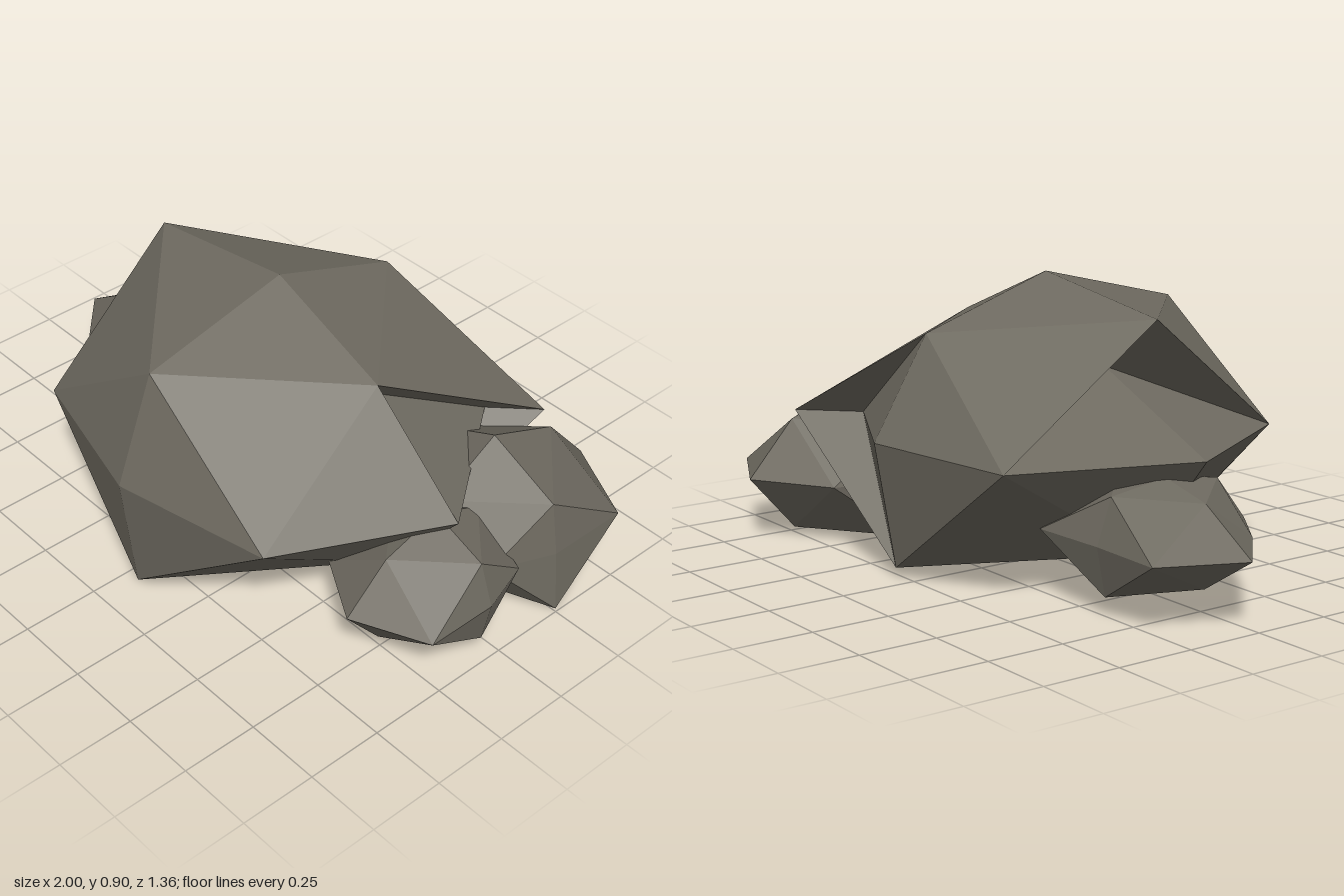
import * as THREE from 'three';

// Vertical squash shared by all the boulders
const SQUASH = 0.7;

// Eighteen directions of a once-divided octahedron:
// X+ X- Y+ Y- Z+ Z-, then the midpoints in the XY, YZ and XZ planes (++ +- -+ --)
const DIRECTIONS = [];
for (let axis = 0; axis < 3; axis++) {
  for (const s of [1, -1]) {
    const d = [0, 0, 0];
    d[axis] = s;
    DIRECTIONS.push(d);
  }
}
for (const [a, b] of [[0, 1], [1, 2], [0, 2]]) {
  for (const s of [1, -1]) {
    for (const t of [1, -1]) {
      const d = [0, 0, 0];
      d[a] = s;
      d[b] = t;
      DIRECTIONS.push(d);
    }
  }
}

// Faceted boulder; reach gives how far each direction extends.
// notches pull in a corner of the spur on one axis: key 'axis direction|corner direction',
// with '|octant' added when only one octant is pulled in.
function boulder(reach, notches = {}) {
  const lengths = new Map(DIRECTIONS.map((d, i) => [d.join(), reach[i]]));
  const positions = [];
  const point = (d, r = lengths.get(d.join())) => [d[0] * r, d[1] * r * SQUASH, d[2] * r];
  const addFace = (corners, flip) => {
    for (const p of flip ? [...corners].reverse() : corners) positions.push(...p);
  };
  for (const x of [1, -1]) for (const y of [1, -1]) for (const z of [1, -1]) {
    const flip = x * y * z < 0;
    const X = [x, 0, 0], Y = [0, y, 0], Z = [0, 0, z];
    const XY = [x, y, 0], YZ = [0, y, z], XZ = [x, 0, z];
    addFace([point(XY), point(YZ), point(XZ)], flip);
    for (const [tip, a, b] of [[X, XY, XZ], [Y, YZ, XY], [Z, XZ, YZ]]) {
      const [innerA, innerB] = [a, b].map((corner) => {
        const key = `${tip}|${corner}`, single = notches[`${key}|${x},${y},${z}`];
        const inner = point(corner, single ?? notches[key]);
        // Step beside a corner pulled in on one side only
        if (single) addFace([point(tip), point(corner), inner], flip);
        return inner;
      });
      addFace([point(tip), innerA, innerB], flip);
      // Small walls between a pulled-in spur and the body
      if (`${innerA}` !== `${point(a)}`) addFace([innerA, point(a), point(b)], flip);
      if (`${innerB}` !== `${point(b)}`) addFace([innerB, innerA, point(b)], flip);
    }
  }
  const geometry = new THREE.BufferGeometry();
  geometry.setAttribute('position', new THREE.Float32BufferAttribute(positions, 3));
  geometry.computeVertexNormals();
  return geometry;
}

export function createModel() {
  const group = new THREE.Group();
  group.name = 'rockCluster';
  const stone = new THREE.MeshStandardMaterial({
    color: 0x6e6a60, flatShading: true, side: THREE.DoubleSide,
  });
  stone.name = 'greyStone';

  const rocks = [
    {
      name: 'mainBoulder', at: [0.07, 0.43, 0.05],
      reach: [0.78, 0.78, 0.67, 0.4, 0.63, 0.64, 0.43, 0.49, 0.55, 0.49,
        0.5, 0.45, 0.58, 0.57, 0.52, 0.58, 0.5, 0.57],
      notches: {
        '-1,0,0|-1,1,0': 0.3,
        '1,0,0|1,1,0|1,1,-1': 0.3, '1,0,0|1,0,-1': 0.45,
        '0,0,-1|1,0,-1': 0.42,
        '0,-1,0|0,-1,1': 0.46, '0,-1,0|0,-1,-1': 0.46,
        '0,-1,0|1,-1,0': 0.43, '0,-1,0|-1,-1,0': 0.43,
      },
    },
    {
      name: 'rightRock', at: [-0.62, 0.21, -0.03],
      reach: [0.22, 0.38, 0.24, 0.22, 0.31, 0.25, 0.21, 0.21, 0.18, 0.18,
        0.2, 0.2, 0.2, 0.22, 0.2, 0.26, 0.18, 0.26],
    },
    {
      name: 'leftFrontRock', at: [0.76, 0.21, 0.05],
      reach: [0.24, 0.21, 0.29, 0.21, 0.35, 0.23, 0.19, 0.21, 0.18, 0.2,
        0.2, 0.18, 0.22, 0.18, 0.24, 0.18, 0.22, 0.17],
    },
    {
      name: 'leftBackRock', at: [0.69, 0.21, -0.26],
      reach: [0.28, 0.3, 0.41, 0.26, 0.23, 0.42, 0.25, 0.3, 0.25, 0.28,
        0.22, 0.26, 0.2, 0.26, 0.2, 0.28, 0.22, 0.26],
    },
  ];
  for (const { name, at, reach, notches } of rocks) {
    const mesh = new THREE.Mesh(boulder(reach, notches), stone);
    mesh.name = name;
    mesh.position.set(...at);
    group.add(mesh);
  }
  return group;
}
